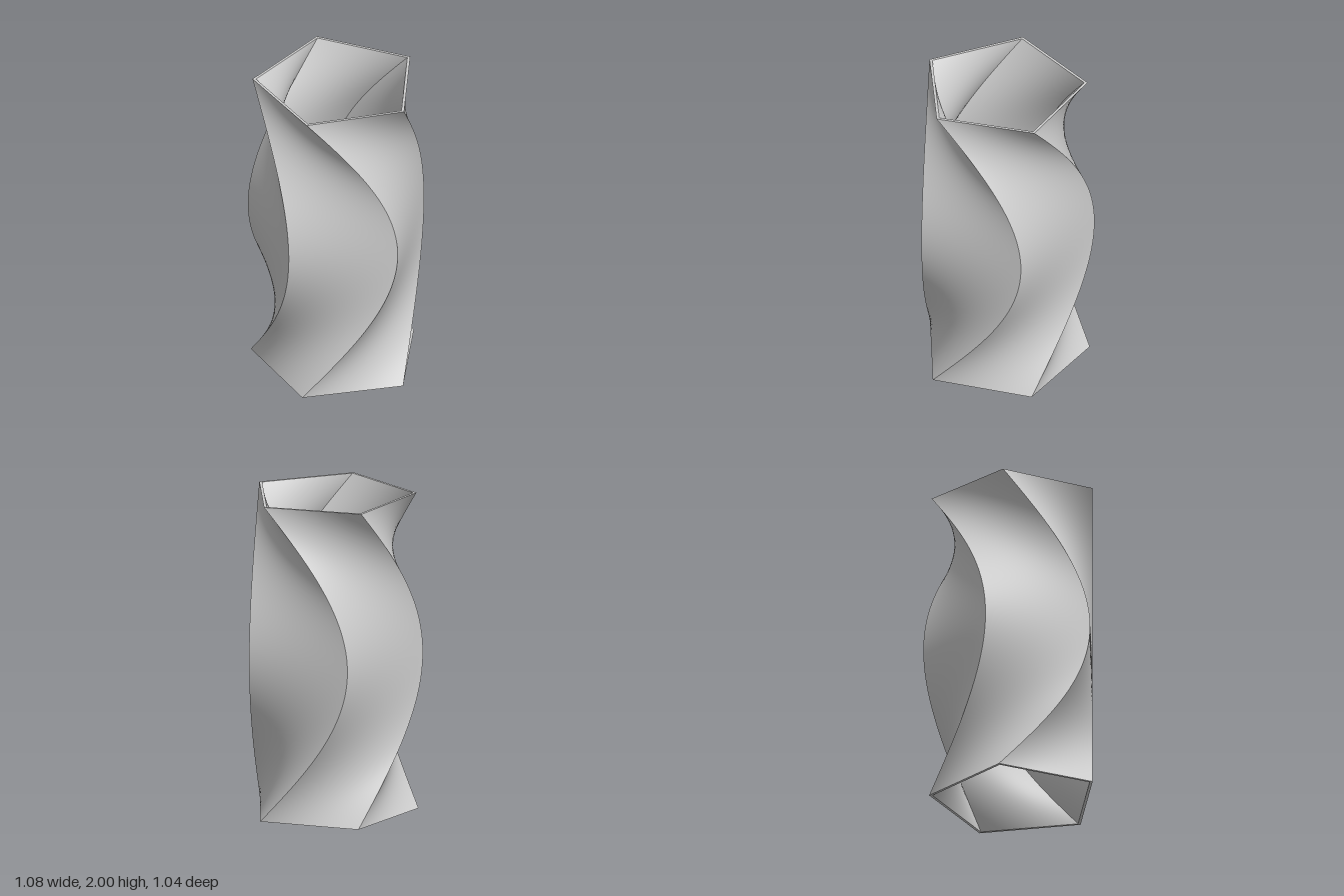
import * as THREE from 'three';
import { ParametricGeometry } from 'three/addons/geometries/ParametricGeometry.js';

const HEIGHT = 2, SIDES = 5, WALL = 0.017, CENTRE_Z = 0.049;
const STEP = (Math.PI * 2) / SIDES;

// Corner k of the section at height y: each corner slides along a fixed chord and back again.
function corner(k, y, inner) {
  const s = Math.sin(Math.PI * 0.493 * y);
  const slide = -0.255 + 0.588 * s;
  const chord = 0.463 + 0.011 * (1 - s);
  const angle = Math.atan2(slide, chord) + k * STEP;
  const r = Math.hypot(slide, chord) - (inner ? WALL / Math.cos(STEP / 2) : 0);
  return new THREE.Vector3(r * Math.sin(angle), y, CENTRE_Z + r * Math.cos(angle));
}

// Point on side k, a fraction u of the way to the next corner
const onSide = (k, u, y, inner) => corner(k, y, inner).lerp(corner(k + 1, y, inner), u);

export function createModel() {
  const group = new THREE.Group();
  group.name = 'twistedVase';
  const grey = new THREE.MeshStandardMaterial({ color: 0xcccccc });
  grey.name = 'light grey';

  const add = (name, fn, slices, stacks) => {
    const geometry = new ParametricGeometry((u, v, target) => target.copy(fn(u, v)), slices, stacks);
    const mesh = new THREE.Mesh(geometry, grey);
    mesh.name = name;
    group.add(mesh);
  };

  for (let k = 0; k < SIDES; k++) {
    // Twisted walls, smooth within a side and sharp at the corners
    add('outerWall', (u, v) => onSide(k, u, v * HEIGHT, false), 12, 80);
    add('innerWall', (u, v) => onSide(k, 1 - u, v * HEIGHT, true), 12, 80);
    // Flat rims closing the wall at both open ends
    const rim = (u, v, y) => onSide(k, u, y, false).lerp(onSide(k, u, y, true), v);
    add('topRim', (u, v) => rim(u, v, HEIGHT), 1, 1);
    add('bottomRim', (u, v) => rim(1 - u, v, 0), 1, 1);
  }
  return group;
}
